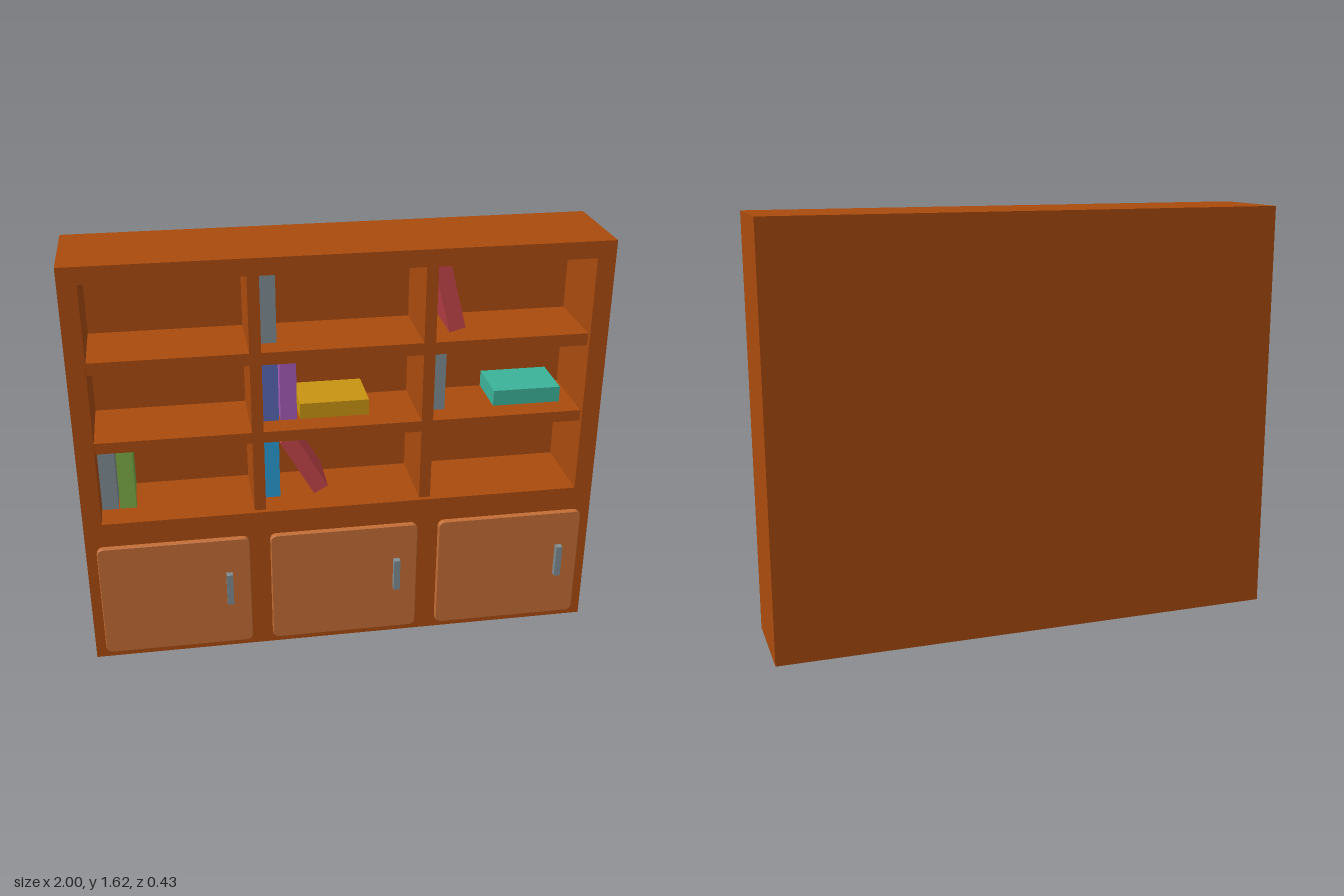
import * as THREE from 'three';

const mat = (name, color) => {
  const m = new THREE.MeshStandardMaterial({ color });
  m.name = name;
  return m;
};

export function createModel() {
  const root = new THREE.Group();
  root.name = 'bookcase';
  const wood = mat('wood', 0xab4b0e);
  const doorWood = mat('door wood', 0xc46e36);
  const grey = mat('grey', 0x7f8c92);
  const green = mat('green', 0x7cae48);
  const indigo = mat('indigo', 0x5a68b4);
  const purple = mat('purple', 0xa55cb8);
  const amber = mat('amber', 0xc99512);
  const blue = mat('blue', 0x2b9cd4);
  const red = mat('red', 0xc4454a);
  const teal = mat('teal', 0x3cb39a);

  const add = (parent, name, geometry, material, x = 0, y = 0, z = 0) => {
    const m = new THREE.Mesh(geometry, material);
    m.name = name;
    m.position.set(x, y, z);
    parent.add(m);
    return m;
  };
  // Box given by its limits on each axis
  const block = (parent, name, material, x0, x1, y0, y1, z0, z1) =>
    add(parent, name, new THREE.BoxGeometry(x1 - x0, y1 - y0, z1 - z0), material,
      (x0 + x1) / 2, (y0 + y1) / 2, (z0 + z1) / 2);
  const rect = (path, x0, x1, y0, y1) =>
    path.moveTo(x0, y0).lineTo(x1, y0).lineTo(x1, y1).lineTo(x0, y1).closePath();

  // Carcass with one large opening, closed by a back panel
  const BACK = -0.14, FRONT = 0.17;
  const outline = rect(new THREE.Shape(), -1, 1, 0, 1.625);
  outline.holes.push(rect(new THREE.Path(), -0.93, 0.93, 0.607, 1.56));
  add(root, 'carcass', new THREE.ExtrudeGeometry(outline, { depth: FRONT - BACK, bevelEnabled: false }),
    wood, 0, 0, BACK);
  block(root, 'backPanel', wood, -1, 1, 0, 1.625, -0.21, BACK);

  // Dividers and shelves, set slightly back from the front
  for (const x of [-0.326, 0.322]) block(root, 'divider', wood, x - 0.022, x + 0.022, 0.607, 1.56, BACK, 0.15);
  const columns = [[-0.93, -0.348], [-0.304, 0.3], [0.344, 0.93]];
  for (const [y0, y1] of [[0.896, 0.94], [1.212, 1.26]])
    for (const [x0, x1] of columns) block(root, 'shelf', wood, x0, x1, y0, y1, BACK, 0.15);

  // Rounded doors with bar handles
  const w = 0.292, h = 0.239, r = 0.025;
  const doorShape = new THREE.Shape();
  doorShape.moveTo(-w + r, -h).lineTo(w - r, -h);
  doorShape.absarc(w - r, -h + r, r, -Math.PI / 2, 0);
  doorShape.absarc(w - r, h - r, r, 0, Math.PI / 2);
  doorShape.absarc(-w + r, h - r, r, Math.PI / 2, Math.PI);
  doorShape.absarc(-w + r, -h + r, r, Math.PI, Math.PI * 1.5);
  const doorGeo = new THREE.ExtrudeGeometry(doorShape, {
    depth: 0.018, curveSegments: 5, bevelThickness: 0.003, bevelSize: 0.003, bevelOffset: -0.003, bevelSegments: 1
  });
  for (const x of [-0.667, -0.002, 0.667]) {
    const door = new THREE.Group();
    door.name = 'door';
    door.position.set(x, 0.27, FRONT);
    root.add(door);
    add(door, 'doorPanel', doorGeo, doorWood);
    block(door, 'handle', grey, 0.195, 0.22, -0.045, 0.09, 0.019, 0.045);
  }

  // Books: centre x and y, lean about z; the page block shows on the top end
  const L = 0.267, W = 0.063, D = 0.2;
  const coverGeo = new THREE.BoxGeometry(W, L, D);
  const pageGeo = new THREE.BoxGeometry(W - 0.012, 0.003, D - 0.016);
  const books = [
    [grey, -0.897, 0.743, 0], [green, -0.829, 0.743, 0],
    [blue, -0.27, 0.743, 0], [red, -0.142, 0.743, 0.51],
    [indigo, -0.268, 1.075, 0], [purple, -0.199, 1.075, 0],
    [amber, -0.022, 0.973, -Math.PI / 2],
    [grey, 0.378, 1.075, 0], [teal, 0.738, 0.973, -Math.PI / 2],
    [grey, -0.27, 1.394, 0], [red, 0.414, 1.398, 0.25]
  ];
  for (const [cover, x, y, lean] of books) {
    const book = new THREE.Group();
    book.name = 'book';
    book.position.set(x, y, -0.039);
    book.rotation.z = lean;
    root.add(book);
    add(book, 'cover', coverGeo, cover);
    add(book, 'pages', pageGeo, grey, 0, L / 2, 0);
  }
  return root;
}
